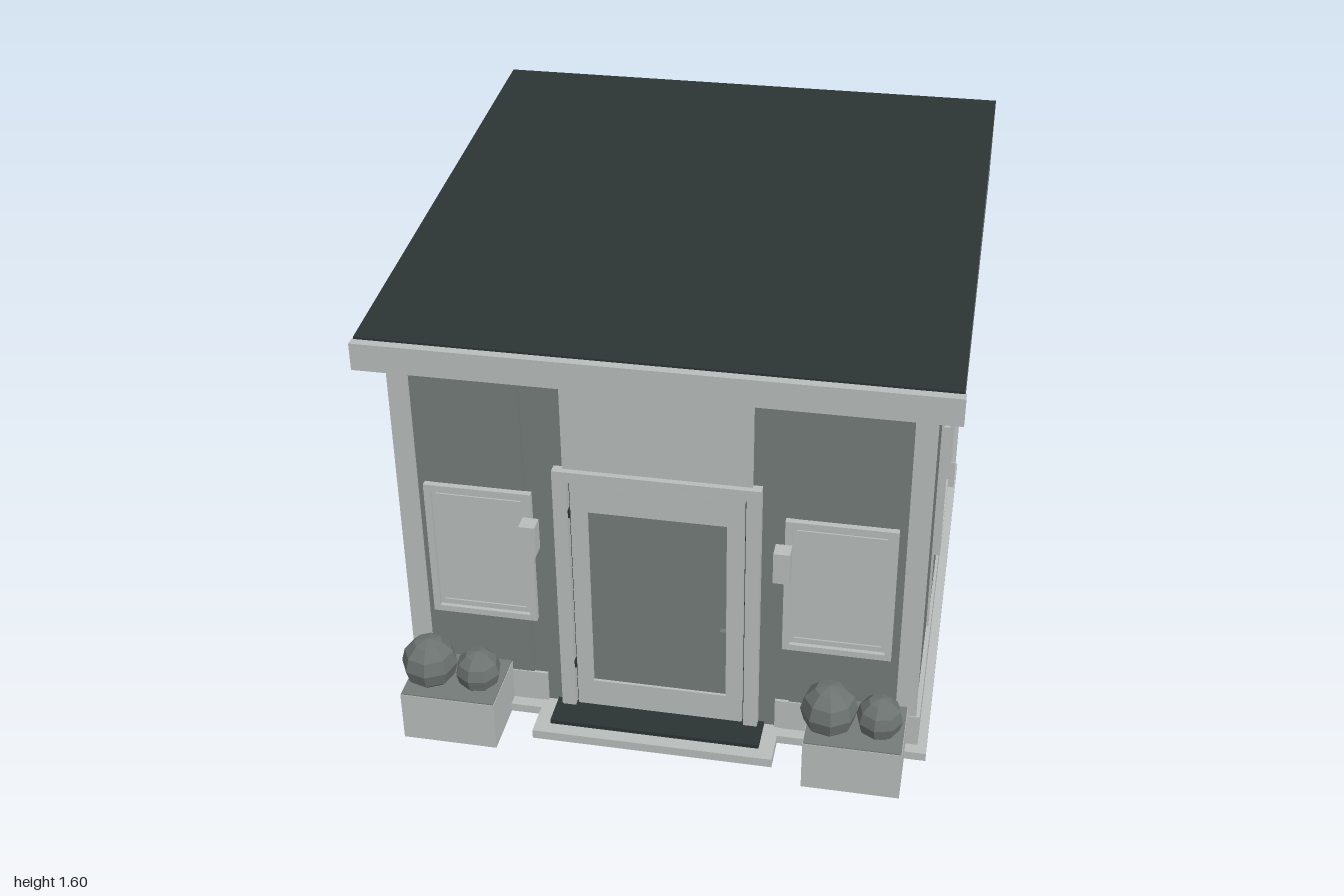
import * as THREE from 'three';

const mat = (name, color) => {
  const m = new THREE.MeshStandardMaterial({ color });
  m.name = name;
  return m;
};

export function createModel() {
  const dark = mat('charcoal', 0x2c3433);
  const mid = mat('wall grey', 0x757c79);
  const light = mat('light trim', 0xb9bebc);
  const foliage = mat('foliage grey', 0x6c7370);
  foliage.flatShading = true;

  const root = new THREE.Group();
  root.name = 'gardenOffice';

  const add = (parent, name, geo, material) => {
    const m = new THREE.Mesh(geo, material);
    m.name = name;
    parent.add(m);
    return m;
  };
  // box given by its minimum and maximum corners
  const box = (name, x0, x1, y0, y1, z0, z1, material, parent = root) => {
    const g = new THREE.BoxGeometry(x1 - x0, y1 - y0, z1 - z0);
    g.translate((x0 + x1) / 2, (y0 + y1) / 2, (z0 + z1) / 2);
    return add(parent, name, g, material);
  };
  // rectangular ring standing on the z = 0 plane
  const ring = (w, h, t, depth) => {
    const s = new THREE.Shape([[-w, -h], [w, -h], [w, h], [-w, h]].map(([x, y]) => new THREE.Vector2(x / 2, y / 2)));
    const a = w / 2 - t, b = h / 2 - t;
    s.holes.push(new THREE.Path([[-a, -b], [-a, b], [a, b], [a, -b]].map(([x, y]) => new THREE.Vector2(x, y))));
    return new THREE.ExtrudeGeometry(s, { depth, bevelEnabled: false });
  };
  // framed window facing +z in its own space
  const makeWindow = (name, w, h, mullion) => {
    const g = new THREE.Group();
    g.name = name;
    add(g, 'windowFrame', ring(w, h, 0.022, 0.022), light);
    box('windowPane', -w / 2 + 0.02, w / 2 - 0.02, -h / 2 + 0.02, h / 2 - 0.02, 0, 0.008, light, g);
    for (const s of [-1, 1]) {
      const y = s * (h / 2 - 0.04);
      box('windowRail', -w / 2 + 0.035, w / 2 - 0.035, y - 0.005, y + 0.005, 0.006, 0.013, light, g);
    }
    if (mullion) box('windowMullion', -0.008, 0.008, -h / 2 + 0.02, h / 2 - 0.02, 0.006, 0.016, light, g);
    root.add(g);
    return g;
  };

  // base, walls and plinth
  box('baseSlab', -0.89, 0.89, 0, 0.03, -0.97, 0.81, light);
  box('walls', -0.845, 0.845, 0.03, 1.3, -0.915, 0.76, mid);
  box('plinthBack', -0.86, 0.86, 0.03, 0.145, -0.93, -0.9, light);
  for (const s of [-1, 1]) {
    const span = (name, a, b, ...rest) => box(name, Math.min(s * a, s * b), Math.max(s * a, s * b), ...rest);
    span('plinthSide', 0.83, 0.86, 0.03, 0.145, -0.93, 0.77, light);
    span('plinthFront', 0.385, 0.86, 0.03, 0.145, 0.74, 0.77, light);

    // front cladding and corner trim
    span('cornerTrim', 0.78, 0.848, 0.145, 1.3, 0.75, 0.766, light);
    span('frontPanel', 0.43, 0.735, 0.145, 1.3, 0.755, 0.766, mid);
    const fw = makeWindow('frontWindow', 0.35, 0.495, false);
    fw.position.set(s * 0.58, 0.623, 0.765);

    // side cladding
    span('sidePanel', 0.84, 0.85, 0.145, 1.3, -0.3, 0.14, mid);
    for (const z of s > 0 ? [0.285, -0.445] : [0.285])
      span('sideBatten', 0.84, 0.853, 0.15, 1.27, z - 0.005, z + 0.005, light);
    const sw = makeWindow('sideWindow', 0.48, 0.52, true);
    sw.position.set(s * 0.848, 0.62, -0.083);
    sw.rotation.y = s * Math.PI / 2;

    // wall lamps
    span('lampArm', 0.395, 0.415, 0.72, 0.74, 0.76, 0.8, light);
    span('wallLamp', 0.378, 0.43, 0.68, 0.79, 0.795, 0.85, light);

    // planters
    span('planter', 0.505, 0.82, 0, 0.178, 0.765, 1, light);
    span('planterSoil', 0.507, 0.818, 0.177, 0.182, 0.768, 0.998, mid);
  }

  // shrubs: x, y, radius
  for (const [x, y, r] of [[-0.75, 0.24, 0.093], [-0.585, 0.228, 0.076], [0.575, 0.24, 0.093], [0.737, 0.228, 0.076]]) {
    const shrub = add(root, 'shrub', new THREE.SphereGeometry(r, 8, 6), foliage);
    shrub.position.set(x, y, 0.887);
    shrub.rotation.y = x * 3;
  }

  // rear joint strips
  for (const x of [-0.365, 0, 0.365]) box('rearBatten', x - 0.005, x + 0.005, 0.15, 1.29, -0.921, -0.91, mid);

  // door
  box('doorTransomPanel', -0.3, 0.3, 0.97, 1.3, 0.755, 0.775, light);
  box('doorBacking', -0.3, 0.3, 0.04, 0.95, 0.755, 0.764, dark);
  for (const s of [-1, 1]) box('doorJamb', s * 0.307 - 0.023, s * 0.307 + 0.023, 0.03, 0.975, 0.755, 0.795, light);
  box('doorHead', -0.285, 0.285, 0.937, 0.975, 0.755, 0.795, light);
  add(root, 'doorLeaf', ring(0.555, 0.88, 0.055, 0.02), light).position.set(0, 0.488, 0.762);
  box('doorBottomRail', -0.225, 0.225, 0.1, 0.15, 0.762, 0.782, light);
  box('doorTopRail', -0.225, 0.225, 0.825, 0.876, 0.762, 0.782, light);
  box('doorGlass', -0.225, 0.225, 0.148, 0.827, 0.762, 0.772, mid);
  box('doorHandle', 0.205, 0.223, 0.38, 0.425, 0.78, 0.798, mid);
  for (const y of [0.2, 0.8]) box('doorHinge', -0.286, -0.277, y, y + 0.03, 0.77, 0.788, dark);

  // step and mat
  box('doorStep', -0.4, 0.4, 0, 0.032, 0.76, 0.93, light);
  box('doorMat', -0.35, 0.35, 0.032, 0.046, 0.765, 0.885, dark);

  // single-pitch roof: grey ends, charcoal elsewhere
  const profile = new THREE.Shape([[-0.83, 1.295], [1, 1.295], [1, 1.595], [-0.83, 1.41]].map(([a, b]) => new THREE.Vector2(a, b)));
  const roof = new THREE.ExtrudeGeometry(profile, { depth: 1.83, bevelEnabled: false });
  roof.translate(0, 0, -0.915);
  roof.rotateY(Math.PI / 2);
  add(root, 'roof', roof, [mid, dark]);
  box('gutter', -0.92, 0.92, 1.312, 1.403, 0.825, 0.86, light);

  // downpipe with brackets and foot
  const pipe = (name, r, h, y) =>
    add(root, name, new THREE.CylinderGeometry(r, r, h, 12), light).position.set(0.865, y, -0.813);
  pipe('downpipe', 0.02, 1.26, 0.67);
  for (const y of [0.41, 1.13]) pipe('pipeBracket', 0.029, 0.018, y);
  box('pipeFoot', 0.845, 0.885, 0.03, 0.145, -0.838, -0.79, light);

  return root;
}
